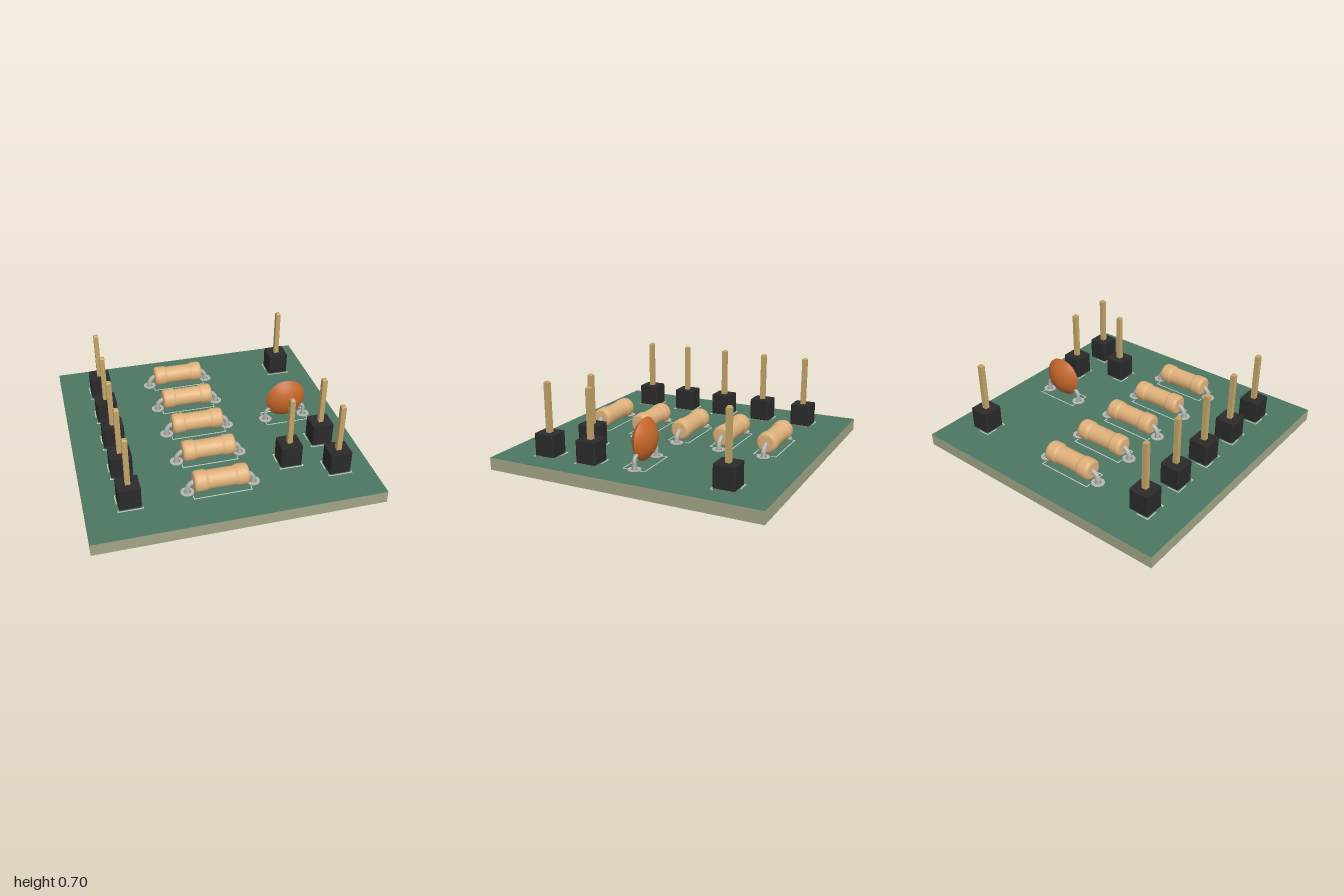
import * as THREE from 'three';

const mat = (color, extra = {}) => new THREE.MeshStandardMaterial({ color, ...extra });
const V2 = (x, y) => new THREE.Vector2(x, y);
const V3 = (x, y, z = 0) => new THREE.Vector3(x, y, z);

const BOTTOM = 0.09, TOP = 0.178;
const ROWS = [-0.667, -0.333, 0, 0.333, 0.667];
const RES_X = -0.075, RES_Y = 0.26, RES_PITCH = 0.23;
const CAP_X = 0.61, CAP_Y = 0.345, CAP_PITCH = 0.15;

export function createModel() {
  const model = new THREE.Group();
  const mats = {
    mask: mat(0x4c7662),
    edge: mat(0xa0a484),
    metal: mat(0xb4b4b0),
    silk: mat(0xc4ccc4),
    plastic: mat(0x2a2a2a, { flatShading: true }),
    brass: mat(0xc2a468, { flatShading: true }),
    resistor: mat(0xdeb07a),
    capacitor: mat(0xc4662a),
  };
  const add = (parent, name, geo, material, x = 0, y = 0, z = 0) => {
    const mesh = new THREE.Mesh(geo, material);
    mesh.name = name;
    mesh.position.set(x, y, z);
    parent.add(mesh);
    return mesh;
  };
  const group = (name, x, z) => {
    const g = new THREE.Group();
    g.name = name;
    g.position.set(x, 0, z);
    model.add(g);
    return g;
  };

  // Positions of the pin headers and of the component leads
  const pins = [
    ...ROWS.map(z => [-0.7, z]),
    [0.76, -0.667], [0.76, 0.333], [0.76, 0.667], [0.46, 0.515],
  ];
  const leads = ROWS.flatMap(z => [[RES_X - RES_PITCH, z], [RES_X + RES_PITCH, z]]);
  leads.push([CAP_X - CAP_PITCH, 0], [CAP_X + CAP_PITCH, 0]);

  // Shapes are drawn in x and -z, then laid flat
  const square = (h, c = 0) => new THREE.Shape([
    V2(-h + c, -h), V2(h - c, -h), V2(h, -h + c), V2(h, h - c),
    V2(h - c, h), V2(-h + c, h), V2(-h, h - c), V2(-h, -h + c),
  ]);
  const disc = r => new THREE.Shape().absarc(0, 0, r, 0, Math.PI * 2);
  const hole = (x, y, r) => new THREE.Path().absarc(x, y, r, 0, Math.PI * 2, true);
  const slab = (shape, depth) => new THREE.ExtrudeGeometry(shape,
    { depth, bevelEnabled: false, curveSegments: 12 }).rotateX(-Math.PI / 2);

  // Drilled board
  const boardShape = new THREE.Shape([V2(-1, -1), V2(1, -1), V2(1, 1), V2(-1, 1)]);
  for (const [x, z] of [...pins, ...leads]) boardShape.holes.push(hole(x, -z, 0.025));
  add(model, 'board', slab(boardShape, TOP - BOTTOM), [mats.mask, mats.edge], 0, BOTTOM, 0);

  // Solder pads on both faces
  const squarePad = square(0.062), roundPad = disc(0.047);
  squarePad.holes.push(hole(0, 0, 0.025));
  roundPad.holes.push(hole(0, 0, 0.024));
  const padGeos = [slab(squarePad, 0.004), slab(roundPad, 0.004)];
  [pins, leads].forEach((list, i) => list.forEach(([x, z]) => {
    add(model, 'topPad', padGeos[i], mats.metal, x, TOP, z);
    add(model, 'bottomPad', padGeos[i], mats.metal, x, BOTTOM - 0.004, z);
  }));

  // Printed outline strokes
  const stroke = (parent, x0, z0, x1, z1) => add(parent, 'printedLine',
    new THREE.BoxGeometry(Math.abs(x1 - x0) + 0.007, 0.002, Math.abs(z1 - z0) + 0.007),
    mats.silk, (x0 + x1) / 2, TOP + 0.001, (z0 + z1) / 2);
  const outline = (parent, w, h, gap) => {
    for (const s of [-1, 1]) {
      stroke(parent, -w, s * h, w, s * h);
      for (const t of [-1, 1]) stroke(parent, s * w, t * gap, s * w, t * h);
    }
  };

  // Pin headers: black block with a square pin tapered at both ends
  const blockGeo = slab(square(0.076, 0.01), 0.155);
  const pinGeo = new THREE.LatheGeometry(
    [[0, 0.005], [0.015, 0.005], [0.025, 0.016], [0.025, 0.69], [0.015, 0.7], [0, 0.7]]
      .map(p => V2(...p)), 4, Math.PI / 4);
  for (const [x, z] of pins) {
    const g = group('pinHeader', x, z);
    add(g, 'headerBlock', blockGeo, mats.plastic, 0, 0.185, 0);
    add(g, 'headerPin', pinGeo, mats.brass);
    stroke(g, -0.083, -0.083, 0, -0.083);
    stroke(g, -0.083, -0.083, -0.083, 0);
    stroke(g, -0.083, 0.083, 0.083, 0.083);
    for (const s of [-1, 1]) stroke(g, s * 0.083, 0.07, s * 0.083, 0.083);
  }

  // Bent wire from the board inward to a component body
  const wire = (parent, side, pitch, base, top, bend, reach, r) => {
    const path = new THREE.CurvePath();
    const x = side * pitch, inner = side * (pitch - bend);
    path.add(new THREE.LineCurve3(V3(x, base), V3(x, top - bend)));
    path.add(new THREE.CubicBezierCurve3(V3(x, top - bend), V3(x, top - bend * 0.45),
      V3(side * (pitch - bend * 0.45), top), V3(inner, top)));
    path.add(new THREE.LineCurve3(V3(inner, top), V3(side * reach, top)));
    add(parent, 'lead', new THREE.TubeGeometry(path, 40, r, 12), mats.metal);
    const end = add(parent, 'leadEnd', new THREE.CircleGeometry(r, 12), mats.metal, x, base, 0);
    end.rotation.x = Math.PI / 2;
  };

  // Resistors: barrel with thicker rounded ends
  const half = [[0.066, 0], [0.066, 0.09], [0.068, 0.098], [0.073, 0.105], [0.074, 0.115],
    [0.074, 0.165], [0.071, 0.178], [0.063, 0.187], [0.052, 0.19], [0, 0.19]];
  const profile = [...half.slice(1).reverse().map(([r, y]) => V2(r, -y)),
    ...half.map(([r, y]) => V2(r, y))];
  const bodyGeo = new THREE.LatheGeometry(profile, 32).rotateZ(-Math.PI / 2);
  for (const z of ROWS) {
    const g = group('resistor', RES_X, z);
    add(g, 'resistorBody', bodyGeo, mats.resistor, 0, RES_Y, 0);
    for (const s of [-1, 1]) wire(g, s, RES_PITCH, 0, RES_Y, 0.06, 0.15, 0.017);
    outline(g, 0.2, 0.081, 0.05);
  }

  // Disc capacitor: lens made of two shallow domes meeting at a sharp rim
  const R = 0.15, H = 0.075, sphere = (R * R + H * H) / (2 * H);
  const maxAngle = Math.asin(R / sphere);
  const dome = Array.from({ length: 13 }, (_, i) => {
    const a = maxAngle * (1 - i / 12);
    return V2(sphere * Math.sin(a), sphere * Math.cos(a) - (sphere - H));
  });
  const domeGeo = new THREE.LatheGeometry(dome, 40).rotateX(Math.PI / 2);
  const cap = group('discCapacitor', CAP_X, 0);
  add(cap, 'capacitorFront', domeGeo, mats.capacitor, 0, CAP_Y, 0);
  add(cap, 'capacitorBack', domeGeo, mats.capacitor, 0, CAP_Y, 0).rotation.y = Math.PI;
  for (const s of [-1, 1]) wire(cap, s, CAP_PITCH, BOTTOM, 0.275, 0.05, 0.07, 0.014);
  outline(cap, 0.16, 0.08, 0.05);

  return model;
}
